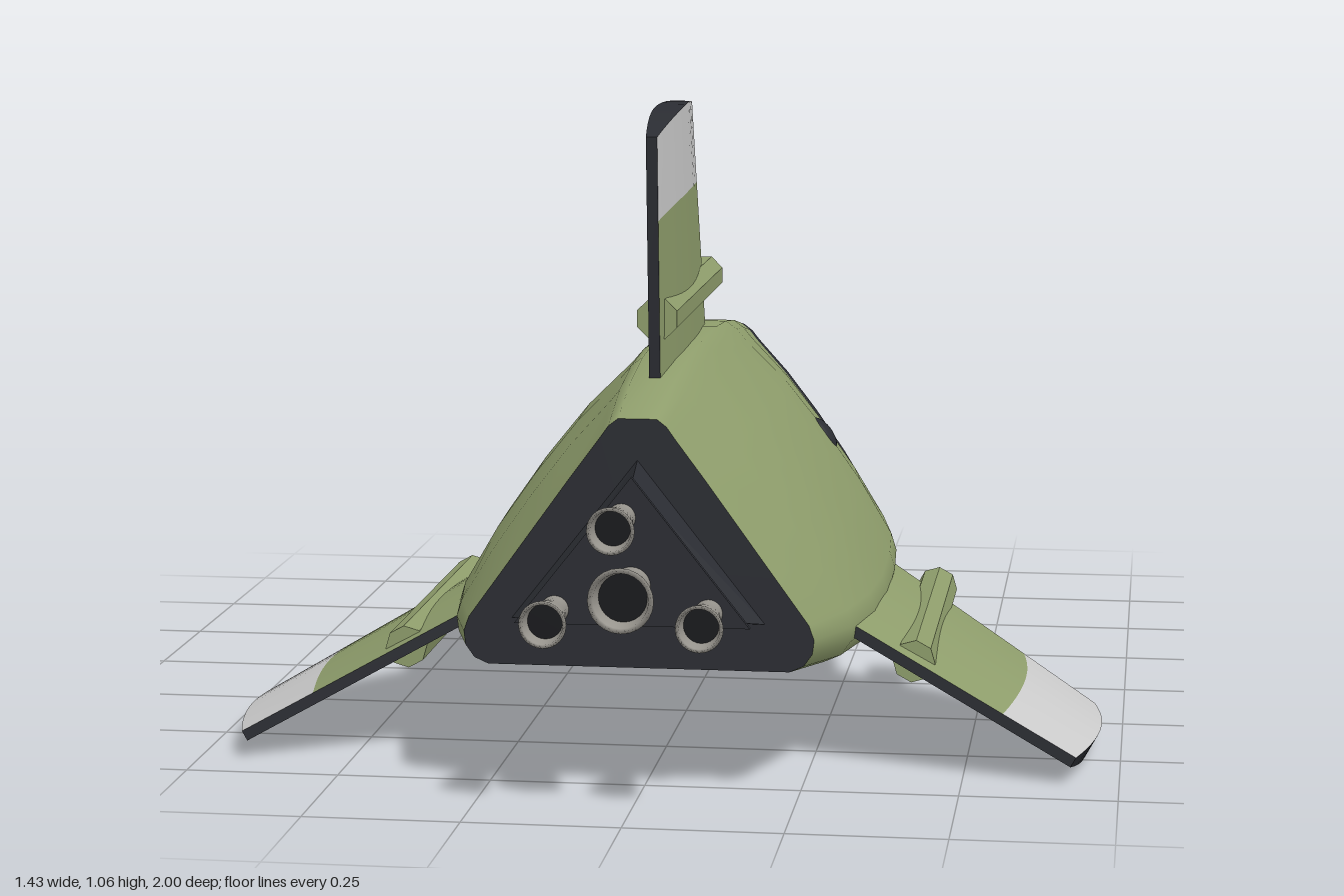
import * as THREE from 'three';

const mat = (color, extra = {}) => new THREE.MeshStandardMaterial({ color, ...extra });
const green = mat(0x8f9e6c), pale = mat(0xcccccc), dark = mat(0x2b2d33);
const podGreen = mat(0x8f9e6c, { flatShading: true }), darkFlat = mat(0x2b2d33, { flatShading: true });
const metal = mat(0x96938c, { side: THREE.DoubleSide }), soot = mat(0x18191c);

// Smooth surface f(i, j) -> [x, y, z] on a grid; it faces along di x dj
function grid(ni, nj, f) {
  const pos = [], index = [], w = nj + 1;
  for (let i = 0; i <= ni; i++) for (let j = 0; j <= nj; j++) pos.push(...f(i, j));
  for (let i = 0; i < ni; i++) for (let j = 0; j < nj; j++) {
    const a = i * w + j, b = a + w;
    index.push(a, b, b + 1, a, b + 1, a + 1);
  }
  const g = new THREE.BufferGeometry();
  g.setAttribute('position', new THREE.Float32BufferAttribute(pos, 3));
  g.setIndex(index);
  g.computeVertexNormals();
  return g;
}

function add(parent, name, geometry, material) {
  const m = new THREE.Mesh(geometry, material);
  m.name = name;
  parent.add(m);
  return m;
}

// Half of the rounded-triangle hull section: [width fraction, height fraction, bulge]
const half = [[0, 0, 0], [0.5, 0, 0], [0.86, 0, 0], [0.94, 0.025, 0], [0.99, 0.075, 0], [1, 0.13, 0],
  [0.97, 0.19, 0.1], [0.78, 0.375, 0.8], [0.585, 0.565, 1], [0.39, 0.755, 0.8], [0.21, 0.925, 0.1],
  [0.165, 0.97, 0], [0.11, 1, 0], [0, 1, 0]];
const ring = [...half, ...half.slice(0, -1).reverse().map(([x, y, b]) => [-x, y, -b])];

// Hull stations: [z, half width, bottom, top, bulge]
const hull = {
  noseTip: [dark, [[-1, 0.001, 0.354, 0.356, 0], [-0.9, 0.044, 0.34, 0.398, 0], [-0.79, 0.092, 0.323, 0.443, 0]]],
  noseCone: [pale, [[-0.79, 0.092, 0.323, 0.443, 0], [-0.57, 0.183, 0.267, 0.524, 0.01], [-0.35, 0.27, 0.215, 0.596, 0.01]]],
  collar: [dark, [[-0.35, 0.27, 0.215, 0.596, 0.01], [-0.28, 0.282, 0.208, 0.608, 0.01]]],
  fuselage: [green, [[-0.28, 0.282, 0.208, 0.608, 0.01], [-0.14, 0.317, 0.195, 0.632, 0.014], [0, 0.343, 0.184, 0.649, 0.018],
    [0.15, 0.352, 0.179, 0.659, 0.02], [0.35, 0.355, 0.177, 0.661, 0.02], [0.5, 0.346, 0.18, 0.655, 0.018],
    [0.65, 0.322, 0.189, 0.638, 0.012], [0.82, 0.277, 0.21, 0.605, 0]]],
};
function hullPoint([z, w, bottom, top, bulge], [x, y, b]) {
  return [x * w + b * bulge * 0.8, bottom + y * (top - bottom) + Math.abs(b) * bulge * 0.6, z];
}

// Swept fin with a lens section; x is thickness, y span (0 at the pod), z chord
const ROOT = -0.13, BAND = 0.685, NU = 12, NS = 4;
function finPoint(side, t, u) {
  const y = ROOT + t * (0.322 + 0.055 * u - 0.08 * u * u - ROOT);
  const lead = 0.1 + 0.432 * y, trail = 0.635 + 0.08 * y;
  return [side * (0.009 + 0.014 * Math.sin(Math.PI * u)), y, lead + u * (trail - lead)];
}
function makeFin(name, x, y, angle) {
  const fin = new THREE.Group();
  fin.name = name;
  for (const [part, t0, t1, m] of [['finPanel', 0, BAND, green], ['finTipBand', BAND, 1, pale]]) {
    for (const s of [1, -1]) {
      add(fin, part, grid(NS, NU, (i, j) =>
        finPoint(s, t0 + (t1 - t0) * i / NS, s > 0 ? j / NU : 1 - j / NU)), m);
    }
  }
  // dark rims around the fin
  add(fin, 'finTipEdge', grid(NU, 1, (i, j) => finPoint(2 * j - 1, 1, i / NU)), dark);
  add(fin, 'finLeadingEdge', grid(NS, 1, (i, j) => finPoint(2 * j - 1, i / NS, 0)), dark);
  add(fin, 'finTrailingEdge', grid(1, NS, (i, j) => finPoint(2 * i - 1, j / NS, 1)), dark);
  // eight-sided pod running through the fin
  const pod = new THREE.CylinderGeometry(0.035, 0.035, 0.59, 8);
  pod.rotateY(Math.PI / 8).rotateX(Math.PI / 2).translate(0, 0, 0.305);
  add(fin, 'finPod', pod, podGreen);
  fin.position.set(x, y, 0);
  fin.rotation.z = angle;
  return fin;
}

// Triangular slab tapering between two z positions: [z, half width, bottom, top]
function triangleBlock(back, front) {
  const corners = [[-1, 0], [1, 0], [0, 1], [-1, 0]];
  const rows = [back, front, [front[0], 0, 0.37, 0.37]];
  return grid(3, 2, (i, j) => {
    const [z, w, b, t] = rows[j], [cx, cy] = corners[i];
    return [cx * w, b + cy * (t - b), z];
  });
}

function makeNozzle(x, y, r) {
  const nozzle = new THREE.Group();
  nozzle.name = 'nozzle';
  const bell = [[0.62, 0], [0.55, 0.02], [0.62, 0.045], [0.82, 0.085], [1, 0.12], [0.84, 0.12], [0.72, 0.09], [0.5, 0.045]]
    .map(([a, z]) => new THREE.Vector2(a * r, z));
  add(nozzle, 'nozzleBell', new THREE.LatheGeometry(bell, 24).rotateX(Math.PI / 2), metal);
  add(nozzle, 'nozzleThroat', new THREE.CircleGeometry(r * 0.75, 24).translate(0, 0, 0.095), soot);
  nozzle.position.set(x, y, 0.88);
  return nozzle;
}

export function createModel() {
  const ship = new THREE.Group();
  ship.name = 'rocketShip';

  // hull in coloured sections
  for (const [name, [m, stations]] of Object.entries(hull)) {
    add(ship, name, grid(ring.length - 1, stations.length - 1, (i, j) => hullPoint(stations[j], ring[i])), m);
  }
  const tail = hull.fuselage[1].at(-1);
  add(ship, 'tailPlate', grid(ring.length - 1, 1, (i, j) =>
    j ? [0, 0.37, tail[0]] : hullPoint(tail, ring[i])), dark);

  // portholes: one on each face, flattened along the face normal
  for (const [x, y, angle] of [[0.212, 0.45, 0.64], [-0.212, 0.45, Math.PI - 0.64], [0, 0.184, -Math.PI / 2]]) {
    const port = add(ship, 'porthole', new THREE.SphereGeometry(0.034, 20, 14), dark);
    port.scale.x = 0.45;
    port.position.set(x, y, 0);
    port.rotation.z = angle;
  }

  // three fins
  const lower = Math.PI / 2 + 0.506;
  ship.add(makeFin('topFin', 0, 0.732, 0));
  ship.add(makeFin('leftFin', 0.417, 0.182, -lower));
  ship.add(makeFin('rightFin', -0.417, 0.182, lower));

  // engine mount and nozzles
  add(ship, 'engineMount', triangleBlock([0.82, 0.2, 0.285, 0.54], [0.88, 0.155, 0.3, 0.515]), darkFlat);
  add(ship, 'engineFlange', triangleBlock([0.878, 0.184, 0.292, 0.525], [0.888, 0.184, 0.292, 0.525]), darkFlat);
  ship.add(makeNozzle(0, 0.355, 0.051));
  for (const [x, y] of [[-0.015, 0.462], [0.12, 0.315], [-0.12, 0.315]]) ship.add(makeNozzle(x, y, 0.037));
  return ship;
}
